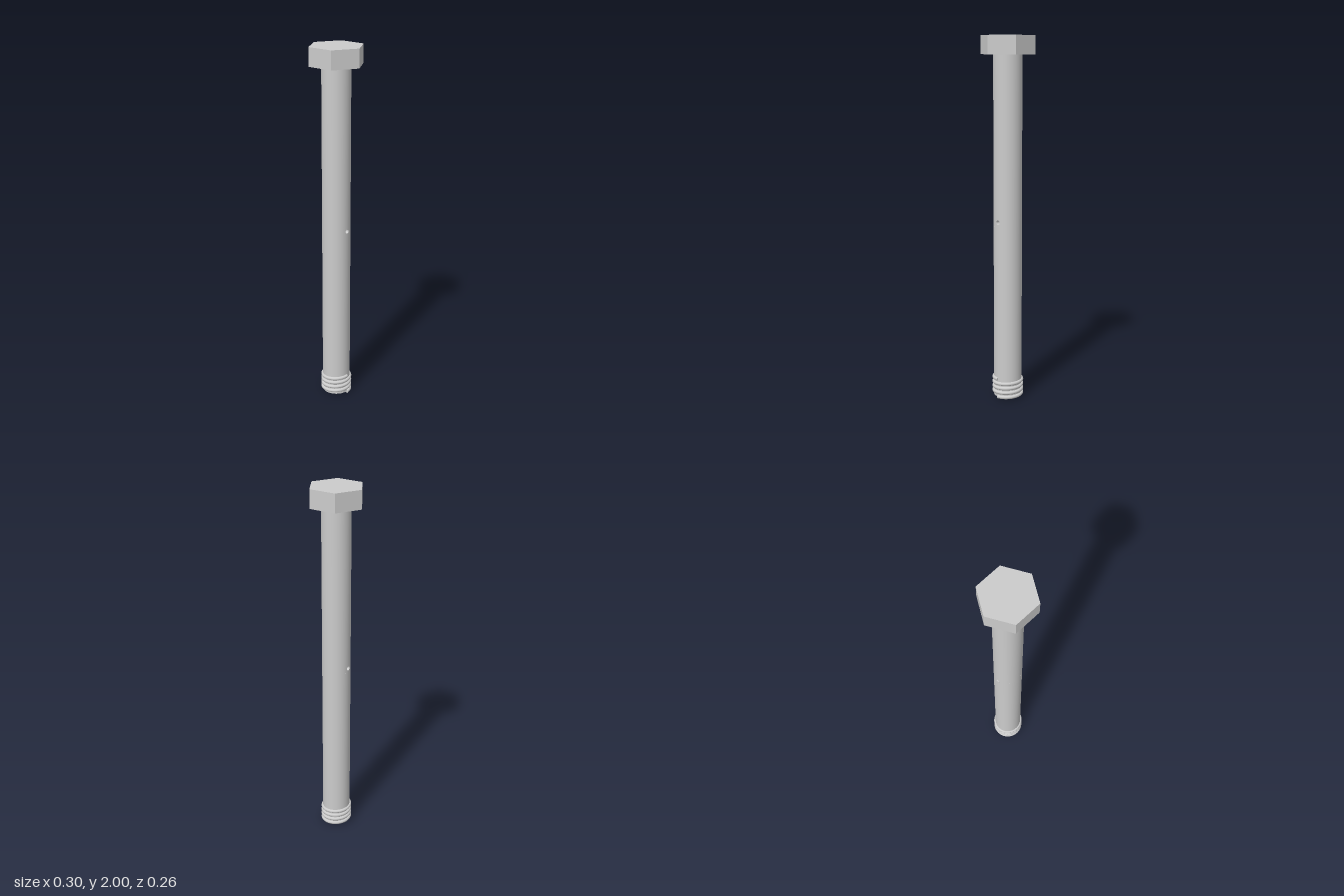
import * as THREE from 'three';

const R = 0.0775;        // shank radius
const BOTTOM = 0.01;     // underside of the shank
const HEAD_Y = 1.9;      // underside of the head
const HOLE_Y = 1.005, HOLE_R = 0.0125;
const PATCH = 0.025;     // half size of the wall patch around each hole mouth
const THREAD_R = 0.01, PITCH = 0.026, TURNS = 4;

const material = new THREE.MeshStandardMaterial({ color: 0xcccccc });

function add(parent, name, geometry, y = 0, mat = material) {
  const mesh = new THREE.Mesh(geometry, mat);
  mesh.name = name;
  mesh.position.y = y;
  parent.add(mesh);
  return mesh;
}

// Joins closed loops of points into a skin
function loft(loops) {
  const n = loops[0].length, index = [];
  for (let i = 0; i < loops.length - 1; i++) {
    for (let j = 0; j < n; j++) {
      const a = i * n + j, b = i * n + (j + 1) % n;
      index.push(a, b, a + n, b, b + n, a + n);
    }
  }
  const geometry = new THREE.BufferGeometry().setFromPoints(loops.flat());
  geometry.setIndex(index);
  geometry.computeVertexNormals();
  return geometry;
}

// Loop on the shank wall, blending from a square (t = 0) to the hole circle (t = 1)
function wallLoop(side, t, n = 32) {
  return Array.from({ length: n }, (_, j) => {
    const a = (j / n) * Math.PI * 2, c = Math.cos(a), s = Math.sin(a);
    const square = PATCH / Math.max(Math.abs(c), Math.abs(s));
    const r = THREE.MathUtils.lerp(square, HOLE_R, t);
    const z = r * c;
    return new THREE.Vector3(side * Math.sqrt(R * R - z * z), r * s, z);
  });
}

class Helix extends THREE.Curve {
  getPoint(t, target = new THREE.Vector3()) {
    const a = t * TURNS * Math.PI * 2;
    return target.set(R * Math.cos(a), BOTTOM + t * TURNS * PITCH, -R * Math.sin(a));
  }
}

export function createModel() {
  const bolt = new THREE.Group();
  bolt.name = 'bolt';

  // Hexagonal head with corners on the x axis
  const headMaterial = material.clone();
  headMaterial.flatShading = true;
  add(bolt, 'head', new THREE.CylinderGeometry(0.15, 0.15, 2 - HEAD_Y, 6, 1, false, Math.PI / 2),
    (2 + HEAD_Y) / 2, headMaterial);

  // Shank above and below the drilled band
  const shank = new THREE.Group();
  shank.name = 'shank';
  bolt.add(shank);
  for (const [name, y0, y1] of [['lowerShank', BOTTOM, HOLE_Y - PATCH], ['upperShank', HOLE_Y + PATCH, HEAD_Y]]) {
    add(shank, name, new THREE.CylinderGeometry(R, R, y1 - y0, 64), (y0 + y1) / 2);
  }

  // Drilled band: plain front and back walls, pierced patches on both sides
  const gap = Math.asin(PATCH / R);
  for (const [name, start] of [['bandFront', -Math.PI / 2], ['bandBack', Math.PI / 2]]) {
    add(shank, name, new THREE.CylinderGeometry(R, R, PATCH * 2, 28, 1, true, start + gap, Math.PI - gap * 2), HOLE_Y);
  }
  for (const side of [1, -1]) {
    const loops = [0, 0.25, 0.5, 0.75, 1].map((t) => wallLoop(side, t));
    if (side > 0) loops.reverse();
    const patch = loft(loops);
    const p = patch.attributes.position, normal = patch.attributes.normal;
    for (let i = 0; i < p.count; i++) normal.setXYZ(i, p.getX(i) / R, 0, p.getZ(i) / R);
    const mesh = add(shank, side > 0 ? 'holeWallLeft' : 'holeWallRight', patch, HOLE_Y);
    mesh.material = material.clone();
    mesh.material.side = THREE.DoubleSide;
  }

  // Bore running through the shank along x
  const boreMaterial = material.clone();
  boreMaterial.side = THREE.DoubleSide;
  add(shank, 'bore', loft([wallLoop(1, 1), wallLoop(-1, 1)]), HOLE_Y, boreMaterial);

  // Helical thread with closed ends
  const thread = new THREE.Group();
  thread.name = 'thread';
  bolt.add(thread);
  add(thread, 'threadCoil', new THREE.TubeGeometry(new Helix(), 256, THREAD_R, 12));
  for (const end of [0, 1]) {
    const cap = add(thread, end ? 'threadTopEnd' : 'threadBottomEnd', new THREE.CircleGeometry(THREAD_R, 12));
    cap.position.set(R, BOTTOM + end * TURNS * PITCH, 0);
    cap.rotation.y = end * Math.PI;
  }

  return bolt;
}
